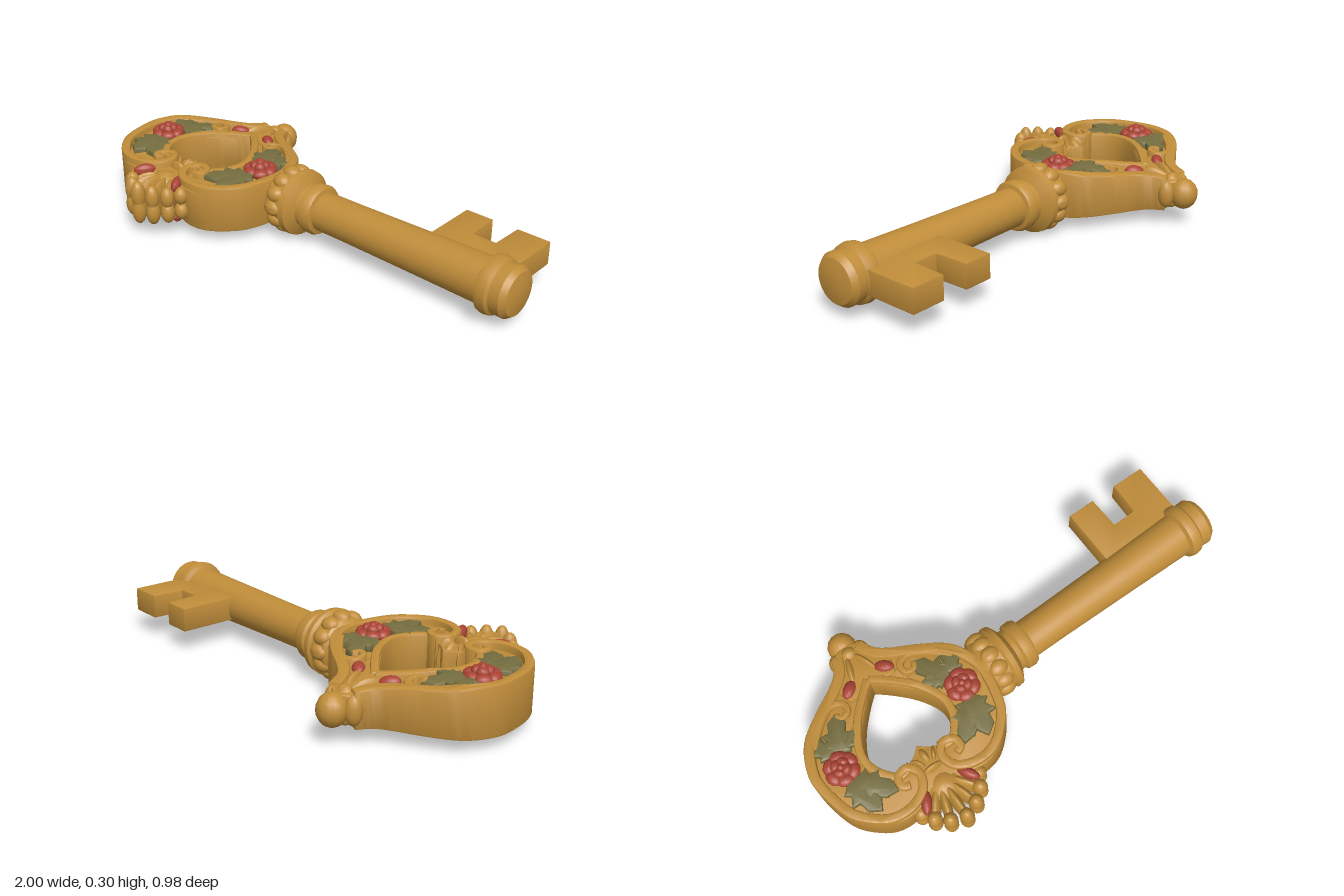
import * as THREE from 'three';
import { mergeGeometries, toCreasedNormals } from 'three/addons/utils/BufferGeometryUtils.js';

const V = (p) => new THREE.Vector2(p[0], p[1]);
const smooth = (pts, n = 40) => new THREE.SplineCurve(pts.map(V)).getPoints(n);
const flip = (pts, s) => pts.map(([x, z]) => [x * s, z]);

// Extrudes a plan shape (x, z) to the half height h above and below y = 0
function slab(shape, h, bevel = 0.012) {
  const depth = 2 * (h - bevel);
  const g = new THREE.ExtrudeGeometry(shape, {
    depth, bevelThickness: bevel, bevelSize: bevel, bevelOffset: -bevel, bevelSegments: 2, curveSegments: 6,
  });
  return g.translate(0, 0, -depth / 2).rotateX(Math.PI / 2);
}

// Raised strip of a given width that follows a plan path, thinner at its end
function band(path, width, h, endWidth = width) {
  const a = [], b = [], n = path.length;
  path.forEach((p, i) => {
    const d = path[Math.min(i + 1, n - 1)].clone().sub(path[Math.max(i - 1, 0)]).normalize();
    const w = THREE.MathUtils.lerp(width, endWidth, i / (n - 1)) / 2;
    a.push(new THREE.Vector2(p.x - d.y * w, p.y + d.x * w));
    b.unshift(new THREE.Vector2(p.x + d.y * w, p.y - d.x * w));
  });
  return slab(new THREE.Shape([...a, ...b]), h, 0.009);
}

// Ellipsoid with half sizes, turned about y, then placed
function blob(x, y, z, rx, ry, rz, turn = 0) {
  return new THREE.SphereGeometry(1, 14, 10).scale(rx, ry, rz).rotateY(turn).translate(x, y, z);
}

// Lobed leaf that points along the given plan direction
function leaf(x, y, z, length, angle) {
  const half = [[0, 0], [0.14, 0.12], [0.3, 0.2], [0.2, 0.32], [0.38, 0.52], [0.2, 0.58], [0.22, 0.82]];
  const pts = [...half, [0, 1.05], ...flip(half.slice(1).reverse(), -1)];
  const g = slab(new THREE.Shape(pts.map((p) => V(p).multiplyScalar(length))), 0.022, 0.01);
  return g.rotateY(angle).translate(x, y, z);
}

// Thins the bow toward the finial
function taper(g) {
  const p = g.attributes.position;
  for (let i = 0; i < p.count; i++) {
    const t = THREE.MathUtils.clamp((-p.getZ(i) - 0.1) / 0.32, 0, 1);
    p.setY(i, p.getY(i) * (1 - 0.32 * t) - 0.015 * t);
  }
  return g;
}

export function createModel() {
  const material = (name, color) => Object.assign(new THREE.MeshStandardMaterial({ color }), { name });
  const gold = material('gold', 0xc08d3a);
  const red = material('roseRed', 0xaa4434);
  const olive = material('leafOlive', 0x766e40);

  const model = new THREE.Group();
  model.name = 'ornateKey';
  const bow = new THREE.Group();
  bow.name = 'bow';
  bow.position.set(-0.58, 0.157, 0);
  const stem = new THREE.Group();
  stem.name = 'stem';
  stem.position.set(0, 0.152, -0.008);
  model.add(bow, stem);

  const add = (group, name, geos, mat) => {
    let g = mergeGeometries(geos.map((q) => (q.index ? q.toNonIndexed() : q)));
    if (group === bow) g = taper(g);
    const mesh = new THREE.Mesh(toCreasedNormals(g, 0.65), mat);
    mesh.name = name;
    group.add(mesh);
  };

  // Bow plate with its heart-shaped opening
  const outer = [[0.03, -0.42], [0.07, -0.38], [0.095, -0.34], [0.15, -0.29], [0.25, -0.235], [0.355, -0.155],
    [0.41, -0.04], [0.417, 0.05], [0.385, 0.19], [0.32, 0.275], [0.24, 0.325], [0.15, 0.33], [0.06, 0.29]];
  const heart = [[0, -0.22], [0.05, -0.165], [0.12, -0.09], [0.17, -0.02], [0.185, 0.05], [0.165, 0.12],
    [0.11, 0.165], [0.05, 0.152], [0, 0.115]];
  const loop = (pts, inset) => {
    const half = smooth(pts).map((p) => [p.x - inset, p.y]);
    return [...half, ...flip(half, -1).reverse()].map(V);
  };
  const plate = new THREE.Shape(loop(outer, 0.01));
  plate.holes.push(new THREE.Path(loop(heart, 0)));
  add(bow, 'bowPlate', [slab(plate, 0.072, 0.004)], gold);

  // Rims and scrolls
  const rimPath = [[0.05, -0.385], [0.08, -0.32], [0.14, -0.27], [0.235, -0.215], [0.335, -0.14], [0.388, -0.035],
    [0.393, 0.05], [0.362, 0.18], [0.305, 0.255], [0.235, 0.302], [0.15, 0.308], [0.08, 0.275],
    [0.055, 0.215], [0.085, 0.17], [0.13, 0.18], [0.14, 0.22], [0.11, 0.235]];
  const curlPath = [[0.34, -0.11], [0.26, -0.185], [0.19, -0.225], [0.14, -0.205], [0.14, -0.165],
    [0.175, -0.155], [0.19, -0.18]];
  const innerPath = heart.slice(0, 8).map(([u, z], i) => [u + (i ? 0.015 : 0.001), z + (i > 5 ? 0.015 : i < 3 ? -0.012 : 0)]);
  const rims = [], curls = [], inner = [];
  for (const s of [1, -1]) {
    rims.push(band(smooth(flip(rimPath, s), 80), 0.048, 0.103, 0.03));
    curls.push(band(smooth(flip(curlPath, s), 40), 0.036, 0.1, 0.022));
    inner.push(band(smooth(flip(innerPath, s), 40), 0.034, 0.094));
  }
  add(bow, 'outerRim', rims, gold);
  add(bow, 'upperScrolls', curls, gold);
  add(bow, 'heartRim', inner, gold);

  // Crest between the rim and the point of the heart
  const crest = [[0, -0.43], [0.055, -0.4], [0.075, -0.34], [0.13, -0.27], [0.11, -0.19], [0.05, -0.19], [0, -0.235]];
  const crestParts = [slab(new THREE.Shape([...crest, ...flip(crest.slice(1, -1).reverse(), -1)].map(V)), 0.085)];
  for (const s of [1, -1]) {
    crestParts.push(blob(s * 0.035, 0, -0.31, 0.022, 0.115, 0.09, s * 0.35));
    crestParts.push(blob(s * 0.06, 0, -0.39, 0.03, 0.085, 0.035, s * 0.5));
  }
  crestParts.push(blob(0, 0, -0.38, 0.05, 0.11, 0.045));
  add(bow, 'crest', crestParts, gold);
  add(bow, 'finialBall', [blob(0, 0, -0.44, 0.061, 0.098, 0.06)], gold);

  // Shell at the front of the bow
  const shell = [blob(0, 0, 0.3, 0.085, 0.085, 0.08)];
  for (let i = -3; i <= 3; i++) {
    const a = i * 0.33, k = Math.abs(i), reach = 0.215 - k * 0.013, h = 0.098 - k * 0.008;
    const at = (r, y, w, hy, l) => blob(Math.sin(a) * r, y, 0.25 + Math.cos(a) * r, w, hy, l, a);
    shell.push(at(reach * 0.55, 0, 0.022, h * 0.9, reach * 0.5));
    shell.push(at(reach - 0.012, 0.035, 0.03, h - 0.035, 0.032), at(reach - 0.012, -0.035, 0.03, h - 0.035, 0.032));
  }
  add(bow, 'shell', shell, gold);
  const clasp = [blob(0, 0, 0.225, 0.065, 0.106, 0.022), blob(0, 0, 0.165, 0.025, 0.095, 0.05)];
  for (const s of [1, -1]) clasp.push(blob(s * 0.035, 0, 0.18, 0.015, 0.1, 0.045, -s * 0.5));
  add(bow, 'shellClasp', clasp, gold);

  // Roses, buds and leaves on both faces
  const roses = [], buds = [], leaves = [];
  for (const t of [1, -1]) {
    for (const s of [1, -1]) {
      const x = s * 0.29, z = 0.02;
      for (const [n, r, y, size] of [[6, 0.048, 0.086, 0.036], [4, 0.024, 0.105, 0.025]]) {
        for (let i = 0; i < n; i++) {
          const a = (i / n) * Math.PI * 2 + n;
          roses.push(blob(x + Math.cos(a) * r, t * y, z + Math.sin(a) * r, size * 0.75, 0.022, size, -a));
        }
      }
      roses.push(blob(x, t * 0.11, z, 0.016, 0.021, 0.016));
      buds.push(blob(s * 0.085, t * 0.082, -0.24, 0.026, 0.027, 0.042, s * 0.9));
      buds.push(blob(s * 0.1, t * 0.07, 0.325, 0.022, 0.028, 0.05, s * 0.55));
      // Plan start, length and direction of each leaf
      for (const [u, w, length, angle] of [[0.27, -0.03, 0.17, Math.PI + 0.5], [0.3, -0.03, 0.13, Math.PI - 0.15],
        [0.25, -0.03, 0.1, Math.PI + 1.0], [0.3, 0.07, 0.18, -0.25], [0.28, 0.08, 0.18, -0.7], [0.23, 0.1, 0.12, -0.2]]) {
        leaves.push(leaf(s * u, t * 0.074, w, length, s * angle));
      }
    }
  }
  add(bow, 'roses', roses, red);
  add(bow, 'buds', buds, red);
  add(bow, 'leaves', leaves, olive);

  // Turned shaft with collar, neck ring and tip
  const profile = [[0, -0.21], [0.09, -0.21], [0.115, -0.18], [0.128, -0.165], [0.13, -0.095], [0.143, -0.085],
    [0.14, -0.06], [0.115, -0.045], [0.094, -0.035], [0.092, -0.015], [0.106, -0.005], [0.108, 0.03], [0.1, 0.045],
    [0.083, 0.05], [0.084, 0.2], [0.09, 0.55], [0.096, 0.855], [0.115, 0.865], [0.12, 0.885], [0.116, 0.91],
    [0.105, 0.92], [0.107, 0.965], [0.09, 0.988], [0.05, 0.998], [0, 1]];
  add(stem, 'shaft', [new THREE.LatheGeometry(profile.map(V), 32).rotateZ(-Math.PI / 2)], gold);
  const beads = [];
  for (let i = 0; i < 12; i++) {
    beads.push(blob(0, 0.118, 0, 0.043, 0.03, 0.035).rotateX((i * Math.PI) / 6).translate(-0.132, 0, 0));
  }
  add(stem, 'collarBeads', beads, gold);

  // Notched bit
  const bit = [[0.53, -0.03], [0.53, -0.325], [0.655, -0.325], [0.66, -0.18], [0.765, -0.18], [0.77, -0.325],
    [0.918, -0.325], [0.918, -0.03]];
  add(stem, 'bit', [slab(new THREE.Shape(bit.map(V)), 0.053, 0.006)], gold);

  return model;
}
